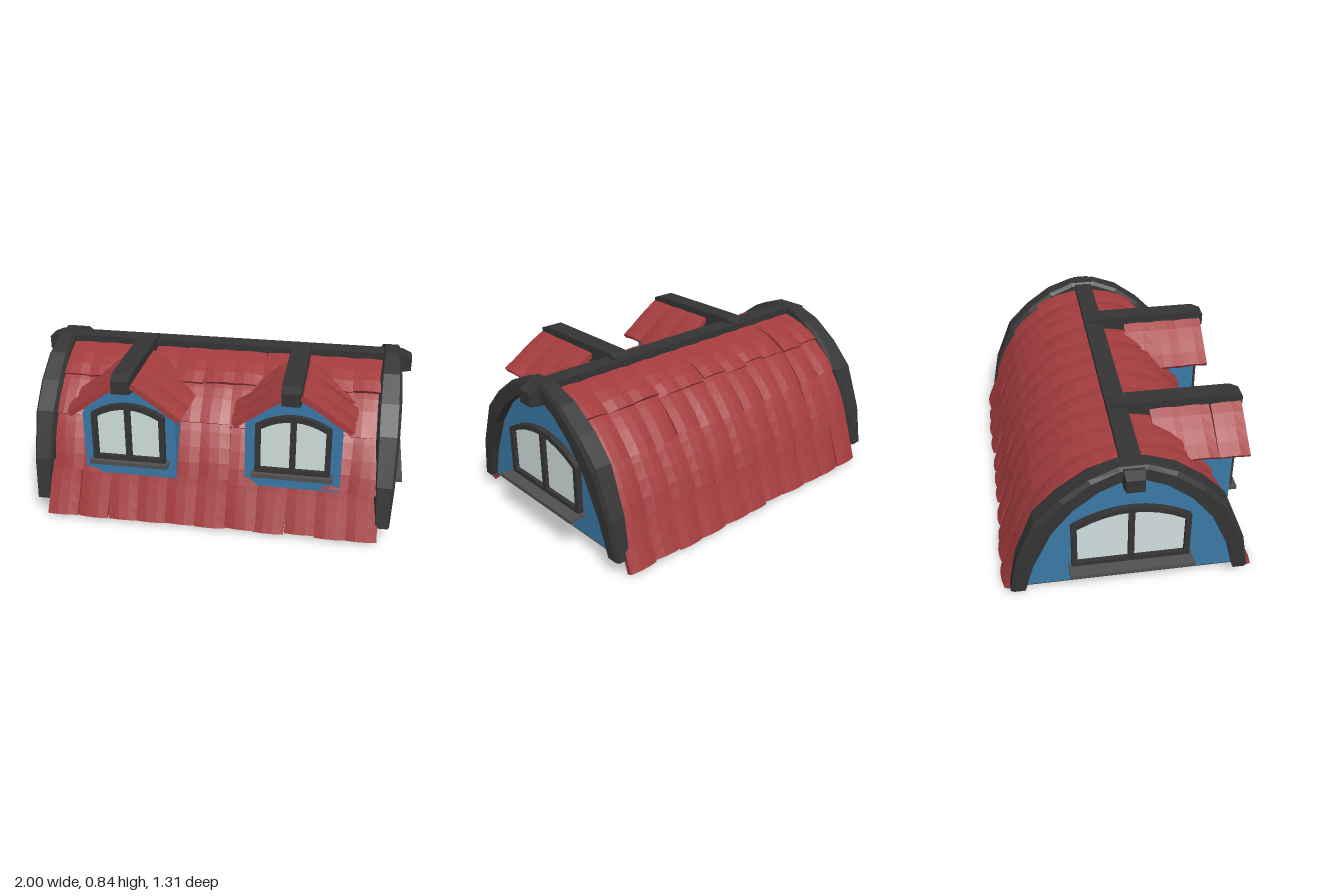
import * as THREE from 'three';

const mat = (name, color) => {
  const m = new THREE.MeshStandardMaterial({ color, flatShading: true });
  m.name = name;
  return m;
};

// Small seeded random for hand-laid tiles
let seed = 7;
const rnd = (a) => {
  seed = (seed * 16807) % 2147483647;
  return (seed / 2147483647 * 2 - 1) * a;
};

// Solid skinned over closed rings of points, capped at both ends
function loft(rings) {
  const n = rings[0].length, tris = [];
  const tri = (a, b, c) => tris.push([a, b, c]);
  for (let i = 0; i < rings.length - 1; i++) {
    for (let j = 0; j < n; j++) {
      const k = (j + 1) % n, p = rings[i], q = rings[i + 1];
      tri(p[j], p[k], q[k]);
      tri(p[j], q[k], q[j]);
    }
  }
  const a = rings[0], b = rings[rings.length - 1];
  for (let j = 0; j < n / 2 - 1; j++) { // caps pair opposite points as strips
    const k = n - 1 - j;
    tri(a[j], a[k], a[j + 1]); tri(a[j + 1], a[k], a[k - 1]);
    tri(b[j], b[j + 1], b[k]); tri(b[j + 1], b[k - 1], b[k]);
  }
  let volume = 0;
  const cross = new THREE.Vector3();
  for (const t of tris) volume += cross.crossVectors(t[1], t[2]).dot(t[0]);
  const pos = [];
  for (const t of tris) for (const v of volume < 0 ? [t[0], t[2], t[1]] : t) pos.push(v.x, v.y, v.z);
  const g = new THREE.BufferGeometry();
  g.setAttribute('position', new THREE.Float32BufferAttribute(pos, 3));
  g.computeVertexNormals();
  return g;
}

const curveOf = (pts) => new THREE.CatmullRomCurve3(pts.map(([a, b]) => new THREE.Vector3(a, b, 0)));

// Bent tile: lies on a slope curve from u0 to u1, spans w0 to w1 across it
function tileGeometry(curve, u0, u1, w0, w1, place) {
  const rings = [], steps = 4, cols = 4;
  const skew = rnd(0.018), lift = 0.013 + rnd(0.005), lean = rnd(0.009);
  const end = u1 + rnd(0.012);
  for (let i = 0; i <= steps; i++) {
    const t = i / steps, u = Math.min(1, Math.max(0, u0 + (end - u0) * t));
    const p = curve.getPointAt(u), d = curve.getTangentAt(u);
    const top = [], bottom = [];
    for (let j = 0; j < cols; j++) {
      const s = j / (cols - 1);
      const h = lift * t + 0.012 * Math.sin(Math.PI * s) * (0.4 + 0.6 * t) + lean * (s - 0.5) * 2 * t;
      const w = w0 + (w1 - w0) * s + skew * (t - 0.5);
      const at = (k) => place(p.x - d.y * k, p.y + d.x * k, w);
      top.push(at(h + 0.024));
      bottom.unshift(at(h - 0.004));
    }
    rings.push([...top, ...bottom]);
  }
  return loft(rings);
}

// Arched window outline
function archShape(w, y0, y1, y2, S = THREE.Shape) {
  const s = new S();
  s.moveTo(-w, y0);
  s.lineTo(w, y0);
  s.lineTo(w, y1);
  s.quadraticCurveTo(0, 2 * y2 - y1, -w, y1);
  s.closePath();
  return s;
}

export function createModel() {
  const model = new THREE.Group();
  const red = mat('tile red', 0xa33c3e), blue = mat('wall blue', 0x3a78a6);
  const dark = mat('charcoal timber', 0x343434), grey = mat('sill grey', 0x505050);
  const glass = mat('pale glass', 0xd0dfdd);
  const add = (parent, name, geo, m, x = 0, y = 0, z = 0) => {
    const mesh = new THREE.Mesh(geo, m);
    mesh.name = name;
    mesh.position.set(x, y, z);
    parent.add(mesh);
    return mesh;
  };
  const extrude = (shape, depth) =>
    new THREE.ExtrudeGeometry(shape, { depth, bevelEnabled: false, curveSegments: 8 });

  // Roof core and blue gable walls
  const half = [[0.565, 0.09], [0.495, 0.3], [0.415, 0.475], [0.31, 0.605], [0.18, 0.7], [0.05, 0.748]];
  const outline = [...half, ...half.map(([z, y]) => [-z, y]).reverse()];
  const coreShape = new THREE.Shape(outline.map(([z, y]) => new THREE.Vector2(z, y)));
  const slab = (x0, x1) => extrude(coreShape, x1 - x0).rotateY(Math.PI / 2).translate(x0, 0, 0);
  add(model, 'roofCore', slab(-0.86, 0.86), red);
  add(model, 'leftGableWall', slab(0.86, 0.9), blue);
  add(model, 'rightGableWall', slab(-0.9, -0.86), blue);
  add(model, 'floor', new THREE.BoxGeometry(1.8, 0.004, 1.16), dark, 0, 0.088, 0);

  // Window facing +z, with its wall plane at z = 0
  function window_(name, w, y0, y1, y2, sillDepth) {
    const g = new THREE.Group(), t = 0.028;
    g.name = name;
    const frame = archShape(w, y0, y1, y2);
    frame.holes.push(archShape(w - t, y0 + t, y1 - t * 0.6, y2 - t, THREE.Path));
    add(g, 'windowFrame', extrude(frame, 0.03), dark);
    add(g, 'windowPane', new THREE.ShapeGeometry(archShape(w - 0.01, y0 + 0.01, y1 - 0.01, y2 - 0.01), 8), glass, 0, 0, 0.008);
    add(g, 'windowMullion', new THREE.BoxGeometry(0.03, y2 - y0 - 0.02, 0.03), dark, 0, (y0 + y2) / 2, 0.013);
    add(g, 'windowSill', new THREE.BoxGeometry(w * 2 + 0.03, 0.02, sillDepth), grey, 0, y0 - 0.006, sillDepth / 2);
    return g;
  }

  // Gable ends: window and curved timber arch
  const outer = [[0.605, 0.085], [0.565, 0.3], [0.47, 0.54], [0.35, 0.665], [0.21, 0.77], [0.07, 0.825]];
  const inner = [[0.53, 0.085], [0.485, 0.26], [0.39, 0.475], [0.285, 0.61], [0.16, 0.705], [0.05, 0.745]];
  const mirror = (a) => [...a, ...a.map(([z, y]) => [-z, y]).reverse()];
  const outs = mirror(outer), ins = mirror(inner);
  for (const side of [1, -1]) {
    const win = window_('gableWindow', 0.295, 0.21, 0.475, 0.565, 0.095);
    win.position.x = side * 0.9;
    win.rotation.y = side * Math.PI / 2;
    model.add(win);
    const rings = outs.map(([oz, oy], i) => {
      const [iz, iy] = ins[i], t = i / (outs.length - 1);
      const hw = 0.04 + 0.02 * Math.abs(Math.sin(2 * Math.PI * t));
      const at = (k, dx) => new THREE.Vector3(side * 0.895 + dx, iy + (oy - iy) * k, iz + (oz - iz) * k);
      return [at(0, -hw), at(0.75, -hw), at(1, -hw * 0.75), at(1, hw * 0.75), at(0.75, hw), at(0, hw)];
    });
    add(model, side > 0 ? 'leftArch' : 'rightArch', loft(rings), dark);
  }

  // Beam running along z, with tapered ends
  const beam = (z0, z1, y0, y1) => {
    const ring = (z, k) => [[-1, 0], [1, 0], [1, 1], [-1, 1]].map(([x, s]) =>
      new THREE.Vector3(x * (0.05 - k * 0.3), s ? y1 - k : y0 + k * 0.4, z));
    return loft([ring(z0, 0.02), ring(z0 + 0.05, 0), ring(z1 - 0.05, 0), ring(z1, 0.02)]);
  };
  add(model, 'ridgeBeam', beam(-1, 1, 0.717, 0.815).rotateY(Math.PI / 2), dark);

  // Main roof tiles, four courses on each slope
  const slope = curveOf([[0.03, 0.757], [0.19, 0.709], [0.325, 0.608], [0.427, 0.477], [0.498, 0.33], [0.542, 0.19], [0.605, 0.005]]);
  const courses = [0, 0.26, 0.47, 0.75, 1];
  const dormers = [-0.413, 0.43];
  const count = 11, width = 1.72 / count;
  for (const side of [1, -1]) {
    const tiles = new THREE.Group();
    tiles.name = side > 0 ? 'frontTiles' : 'backTiles';
    model.add(tiles);
    for (let r = 0; r < 4; r++) {
      const shift = rnd(0.01);
      for (let i = 0; i < count; i++) {
        const x0 = -0.85 + i * width + shift + rnd(0.006), mid = x0 + width / 2;
        // Leave out tiles swallowed by a dormer
        if (side > 0 && (r === 1 || r === 2) && dormers.some((c) => Math.abs(mid - c) < 0.16)) continue;
        const geo = tileGeometry(slope, courses[r] - (r ? 0.04 : 0), courses[r + 1], x0, x0 + width + 0.004,
          (z, y, x) => new THREE.Vector3(x, y, side * z));
        add(tiles, 'roofTile', geo, red);
      }
    }
  }

  // Dormers: wall, window, ridge beam and little tiled roof
  const dormerSlope = curveOf([[0.03, 0.785], [0.12, 0.725], [0.2, 0.66], [0.285, 0.598]]);
  const dormerWall = new THREE.Shape([[-0.243, 0.25], [0.243, 0.25], [0.243, 0.6], [0, 0.77], [-0.243, 0.6]]
    .map(([x, y]) => new THREE.Vector2(x, y)));
  dormers.forEach((c, n) => {
    const d = new THREE.Group();
    d.name = n ? 'leftDormer' : 'rightDormer';
    d.position.x = c;
    model.add(d);
    add(d, 'dormerWall', extrude(dormerWall, 0.46), blue, 0, 0, 0.1);
    const win = window_('dormerWindow', 0.19, 0.345, 0.61, 0.67, 0.055);
    win.position.z = 0.56;
    d.add(win);
    add(d, 'dormerBeam', beam(-0.03, 0.645, 0.745, 0.84), dark, -0.013);
    for (const side of [1, -1]) {
      for (let i = 0; i < 3; i++) {
        const z0 = 0.165 + i * 0.153 + rnd(0.008);
        const geo = tileGeometry(dormerSlope, 0, 0.97 + rnd(0.03), z0, z0 + 0.16,
          (x, y, z) => new THREE.Vector3(side * x, y, z));
        add(d, 'dormerTile', geo, red);
      }
    }
  });
  return model;
}
